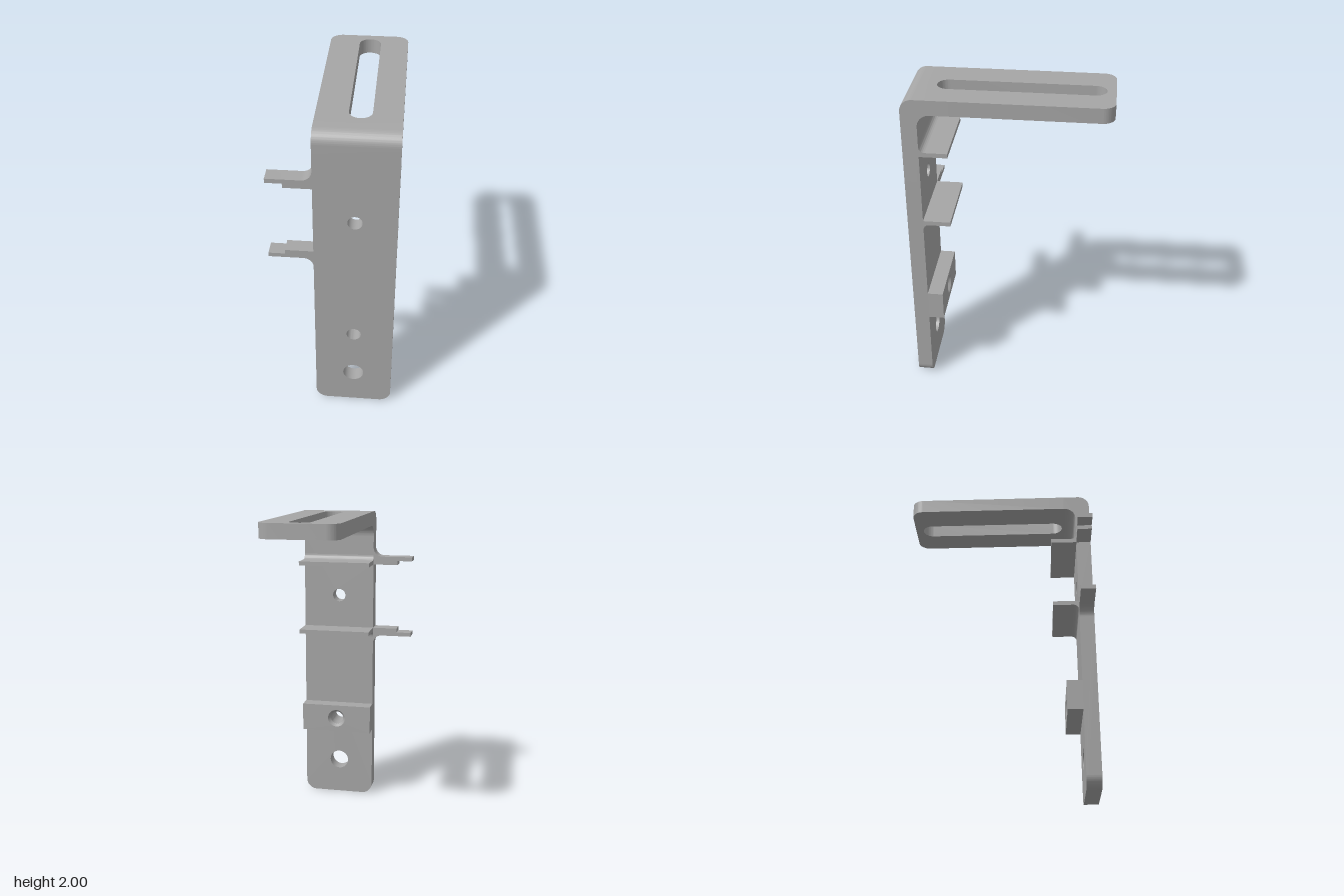
import * as THREE from 'three';
import { toCreasedNormals } from 'three/addons/utils/BufferGeometryUtils.js';

const grey = new THREE.MeshStandardMaterial({ color: 0xa6a6a6 });
grey.name = 'plain grey';

// Shared limits of the bracket
const X0 = -0.11, X1 = 0.367, W = X1 - X0;
const FRONT = 0.596, INNER = 0.503, HOLE_X = 0.127;
const BEND_Y = 1.835, BEND_Z = 0.428, UNDER = 1.91;

function extrude(shape, depth) {
  const g = new THREE.ExtrudeGeometry(shape, { depth, bevelEnabled: false, curveSegments: 16 });
  return toCreasedNormals(g, 0.5);
}

function circleHole(x, y, r) {
  const p = new THREE.Path();
  p.absarc(x, y, r, 0, Math.PI * 2, true);
  return p;
}

function rectangle(x0, y0, x1, y1) {
  return new THREE.Shape([[x0, y0], [x1, y0], [x1, y1], [x0, y1]].map(p => new THREE.Vector2(...p)));
}

export function createModel() {
  const group = new THREE.Group();
  const add = (name, geometry) => {
    const m = new THREE.Mesh(geometry, grey);
    m.name = name;
    group.add(m);
  };

  // Profile given as (-z, y), swept across the full bracket width
  const sweep = shape => extrude(shape, W).rotateY(Math.PI / 2).translate(X0, 0, 0);

  // Upright plate with rounded foot and two stepped side tabs
  const r = 0.072, f = 0.06, P = Math.PI;
  const plate = new THREE.Shape();
  plate.moveTo(X0 + r, 0);
  plate.lineTo(X1 - r, 0);
  plate.absarc(X1 - r, r, r, -P / 2, 0, false);
  plate.lineTo(X1, BEND_Y);
  plate.lineTo(X0, BEND_Y);
  plate.lineTo(X0, 1.7 + f);
  plate.absarc(X0 - f, 1.7 + f, f, 0, -P / 2, true);
  for (const [x, y] of [[-0.37, 1.7], [-0.37, 1.673], [-0.273, 1.673], [-0.273, 1.646], [X0, 1.646],
    [X0, 1.212], [-0.273, 1.212], [-0.273, 1.186], [-0.37, 1.186], [-0.37, 1.16]]) plate.lineTo(x, y);
  plate.lineTo(X0 - f, 1.16);
  plate.absarc(X0 - f, 1.16 - f, f, P / 2, 0, true);
  plate.lineTo(X0, r);
  plate.absarc(X0 + r, r, r, P, P * 1.5, false);
  plate.holes.push(circleHole(HOLE_X, 0.24, 0.064), circleHole(HOLE_X, 0.575, 0.044), circleHole(HOLE_X, 1.43, 0.043));
  add('uprightPlate', extrude(plate, FRONT - INNER).translate(0, 0, INNER));

  // Rounded bend joining the upright to the top arm
  const bend = new THREE.Shape(), ro = 0.072, ri = INNER - BEND_Z;
  bend.moveTo(-FRONT, BEND_Y);
  bend.lineTo(-INNER, BEND_Y);
  bend.absarc(-BEND_Z, BEND_Y, ri, P, P / 2, true);
  bend.lineTo(-BEND_Z, 2);
  bend.lineTo(-FRONT + ro, 2);
  bend.absarc(-FRONT + ro, 2 - ro, ro, P / 2, P, false);
  add('bend', sweep(bend));

  // Slotted top arm, drawn as (x, -z)
  const arm = new THREE.Shape(), ra = 0.074;
  arm.moveTo(X0, -BEND_Z);
  arm.lineTo(X1, -BEND_Z);
  arm.lineTo(X1, 0.596 - ra);
  arm.absarc(X1 - ra, 0.596 - ra, ra, 0, P / 2, false);
  arm.lineTo(X0 + ra, 0.596);
  arm.absarc(X0 + ra, 0.596 - ra, ra, P / 2, P, false);
  const slot = new THREE.Path(), sx = 0.136, sr = 0.065;
  slot.absarc(sx, 0.545 - sr, sr, P, 0, true);
  slot.absarc(sx, -0.42 + sr, sr, 0, -P, true);
  arm.holes.push(slot);
  add('topArm', extrude(arm, 2 - UNDER).rotateX(-P / 2).translate(0, UNDER, 0));

  // Two thin shelves with a fillet, the lower one mirrored
  const shelf = (name, flatY, dir) => {
    const fr = 0.035, t = flatY + dir * 0.027;
    const s = new THREE.Shape();
    s.moveTo(-INNER, flatY);
    s.lineTo(-0.338, flatY);
    s.lineTo(-0.338, t);
    s.lineTo(-INNER + fr, t);
    s.absarc(-INNER + fr, t + dir * fr, fr, -dir * P / 2, -dir * P, dir > 0);
    add(name, sweep(s));
  };
  shelf('upperShelf', 1.647, 1);
  shelf('lowerShelf', 1.212, -1);

  // Rear boss block with a countersunk hole
  const layer = (name, radius, z0, z1) => {
    const s = rectangle(X0, 0.48, X1, 0.668);
    s.holes.push(circleHole(HOLE_X, 0.575, radius));
    add(name, extrude(s, z1 - z0).translate(0, 0, z0));
  };
  layer('bossBlock', 0.044, 0.43, INNER);
  layer('bossFace', 0.06, 0.408, 0.43);
  const cone = new THREE.LatheGeometry([new THREE.Vector2(0.044, 0.43), new THREE.Vector2(0.06, 0.408)], 48);
  add('countersink', cone.rotateX(P / 2).translate(HOLE_X, 0.575, 0));

  return group;
}
